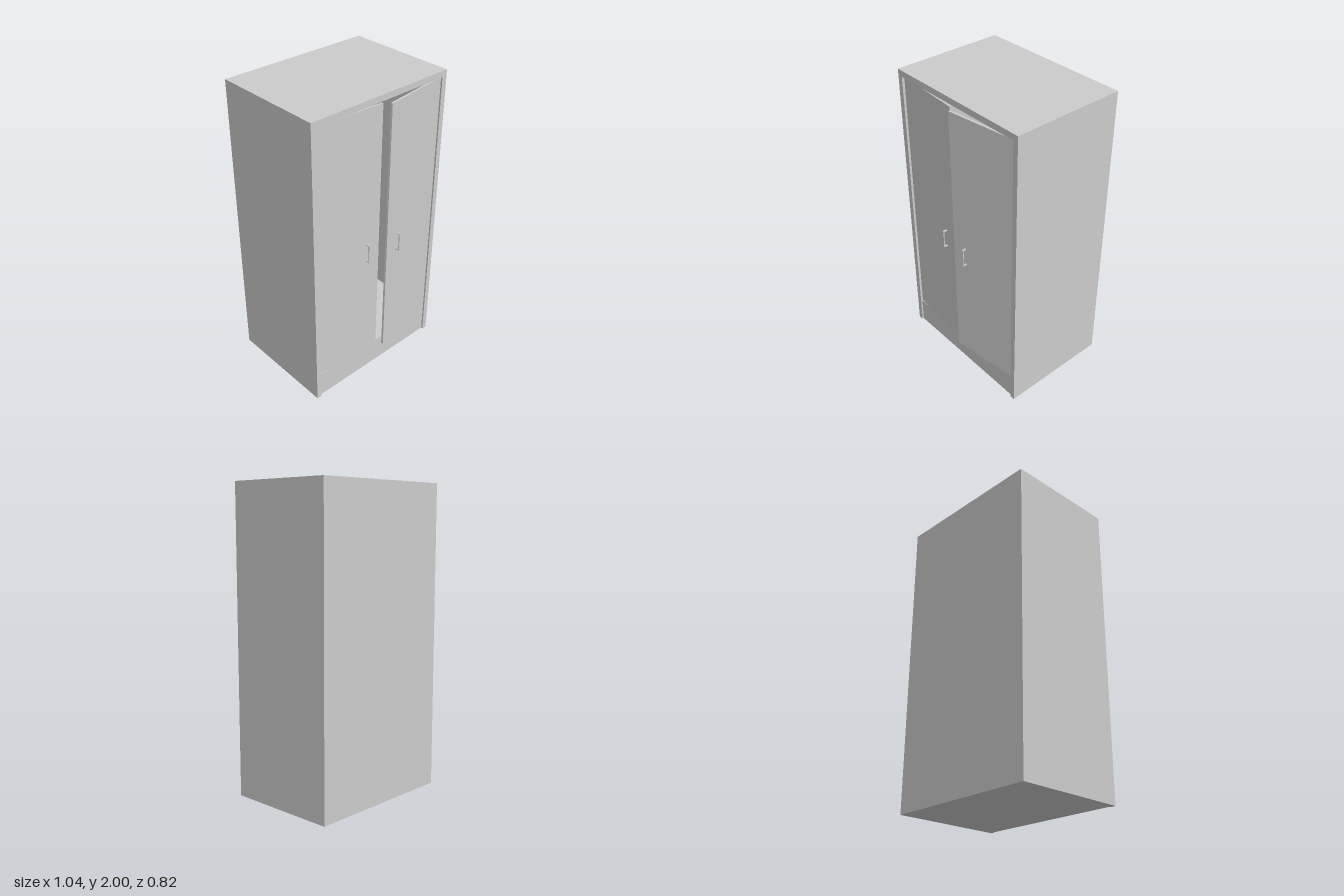
import * as THREE from 'three';

const material = new THREE.MeshStandardMaterial({ color: 0xcccccc, flatShading: true });

// Box given by its minimum and maximum corners
function box(name, min, max) {
  const size = max.map((v, i) => v - min[i]);
  const mesh = new THREE.Mesh(new THREE.BoxGeometry(...size), material);
  mesh.position.set(...max.map((v, i) => (v + min[i]) / 2));
  mesh.name = name;
  return mesh;
}

// Bracket handle: two stubs joined by an upright bar, cut as one profile
function makeHandle() {
  const h = 0.125, reach = 0.029, t = 0.006, width = 0.011;
  const shape = new THREE.Shape();
  [[0, 0], [reach, 0], [reach, h], [0, h], [0, h - t], [reach - t, h - t], [reach - t, t], [0, t]]
    .forEach(([x, y], i) => (i ? shape.lineTo(x, y) : shape.moveTo(x, y)));
  const geometry = new THREE.ExtrudeGeometry(shape, { depth: width, bevelEnabled: false });
  geometry.translate(0, 0, -width / 2).rotateY(-Math.PI / 2);
  const mesh = new THREE.Mesh(geometry, material);
  mesh.name = 'handle';
  return mesh;
}

// Door hung on its outer edge; side is -1 or +1 along x
function makeDoor(name, side, hingeZ, angle) {
  const width = 0.47, height = 1.775, thickness = 0.014;
  const door = new THREE.Group();
  door.name = name;
  const panel = box('doorPanel', [-width / 2, 0, -thickness], [width / 2, height, 0]);
  panel.position.x = -side * width / 2;
  const handle = makeHandle();
  handle.position.set(-side * 0.375, 0.745, 0);
  door.add(panel, handle);
  door.position.set(side * 0.485, 0.183, hingeZ);
  door.rotation.y = side * angle;
  return door;
}

export function createModel() {
  const wardrobe = new THREE.Group();
  wardrobe.name = 'wardrobe';
  const W = 0.522, inner = 0.487, back = -0.412, front = 0.341;

  // Carcass: sides, top, back and the slightly recessed plinth
  for (const side of [-1, 1]) {
    const x = [side * inner, side * W].sort((a, b) => a - b);
    wardrobe.add(box(side < 0 ? 'rightSide' : 'leftSide', [x[0], 0, back], [x[1], 2, front]));
  }
  wardrobe.add(
    box('topPanel', [-inner, 1.96, back], [inner, 2, front]),
    box('backPanel', [-inner, 0.18, back], [inner, 1.96, back + 0.02]),
    box('plinth', [-inner, 0, back], [inner, 0.18, 0.33]),
  );

  // Two doors standing ajar by different amounts
  wardrobe.add(
    makeDoor('rightDoor', -1, 0.326, 0.067),
    makeDoor('leftDoor', 1, 0.332, 0.133),
  );
  return wardrobe;
}
